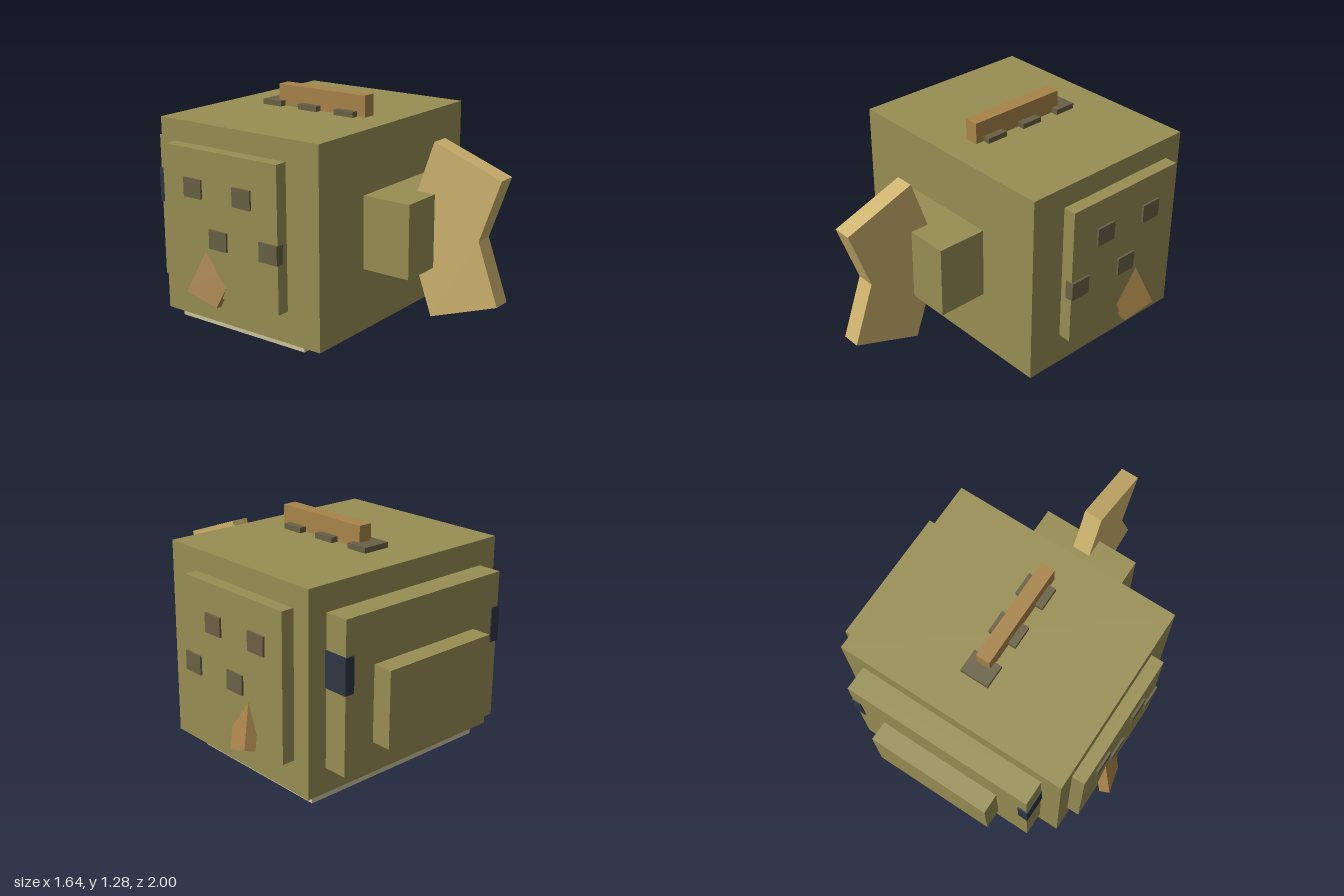
import * as THREE from 'three';

const mat = (name, color) => {
  const m = new THREE.MeshStandardMaterial({ color });
  m.name = name;
  return m;
};

export function createModel() {
  const model = new THREE.Group();
  model.name = 'blockFish';
  const olive = mat('olive', 0x988e53);
  const sand = mat('sand', 0xceb36e);
  const cream = mat('cream', 0xcfc59e);
  const brown = mat('finBrown', 0xa9844a);
  const umber = mat('spotUmber', 0x6a6145);
  const navy = mat('eyeNavy', 0x2e3743);

  // Box given by its minimum and maximum on each axis
  const box = (name, material, [x0, x1], [y0, y1], [z0, z1]) => {
    const mesh = new THREE.Mesh(new THREE.BoxGeometry(x1 - x0, y1 - y0, z1 - z0), material);
    mesh.position.set((x0 + x1) / 2, (y0 + y1) / 2, (z0 + z1) / 2);
    mesh.name = name;
    model.add(mesh);
    return mesh;
  };

  // Body, stepped snout, tail root and belly
  box('body', olive, [-0.665, 0.665], [0.06, 1.16], [-0.755, 0.325]);
  box('face', olive, [-0.55, 0.55], [0.2, 1.02], [-0.89, -0.755]);
  box('snout', olive, [-0.36, 0.36], [0.33, 0.745], [-1, -0.89]);
  box('tailRoot', olive, [-0.29, 0.29], [0.41, 0.815], [0.325, 0.61]);
  box('belly', cream, [-0.6, 0.6], [0, 0.06], [-0.71, 0.17]);

  // Dorsal fin with three spots at its foot
  box('dorsalFin', brown, [-0.04, 0.04], [1.16, 1.28], [-0.445, 0.15]);
  for (const z of [-0.465, -0.215, 0.035]) {
    box('backSpot', umber, [-0.082, 0.082], [1.16, 1.19], [z - 0.064, z + 0.064]);
  }

  // Forked tail, outlined in z and y and extruded across x
  const outline = [[1, 0.95], [0.6, 1.095], [0.43, 0.61], [0.6, 0.13], [1, 0.275], [0.88, 0.61]];
  const tailShape = new THREE.Shape(outline.map(([z, y]) => new THREE.Vector2(-z, y)));
  const tailGeo = new THREE.ExtrudeGeometry(tailShape, { depth: 0.104, bevelEnabled: false });
  tailGeo.translate(0, 0, -0.052).rotateY(Math.PI / 2);
  const tail = new THREE.Mesh(tailGeo, sand);
  tail.name = 'tailFin';
  model.add(tail);

  const spots = [[-0.118, 0.825], [-0.46, 0.825], [0.058, 0.565], [-0.288, 0.565]];
  for (const s of [-1, 1]) {
    const side = s > 0 ? 'left' : 'right';
    const span = (a, b) => (s > 0 ? [a, b] : [-b, -a]);

    // Cheek panel, eye and flank spots
    box(side + 'Panel', olive, span(0.665, 0.738), [0.24, 1.04], [-0.65, 0.115]);
    box(side + 'Eye', navy, span(0.5, 0.558), [0.635, 0.83], [-0.897, -0.755]);
    for (const [z, y] of spots) {
      box(side + 'Spot', umber, span(0.7, 0.75), [y - 0.053, y + 0.053], [z - 0.061, z + 0.061]);
    }

    // Pectoral fin: a slab leaning out of the panel, swung forward
    const thick = new THREE.Vector3(0.055 * s, 0.015, 0.02).normalize();
    const up = new THREE.Vector3(-0.345 * s, 0.897, 0.28).normalize();
    const wide = new THREE.Vector3().crossVectors(thick, up).normalize();
    thick.crossVectors(up, wide);
    const fin = new THREE.Mesh(new THREE.BoxGeometry(0.06, 0.3, 0.19), brown);
    fin.quaternion.setFromRotationMatrix(new THREE.Matrix4().makeBasis(thick, up, wide));
    fin.position.set(0.7725 * s, 0.2275, -0.3775).addScaledVector(up, 0.15);
    fin.name = side + 'PectoralFin';
    model.add(fin);
  }
  return model;
}
